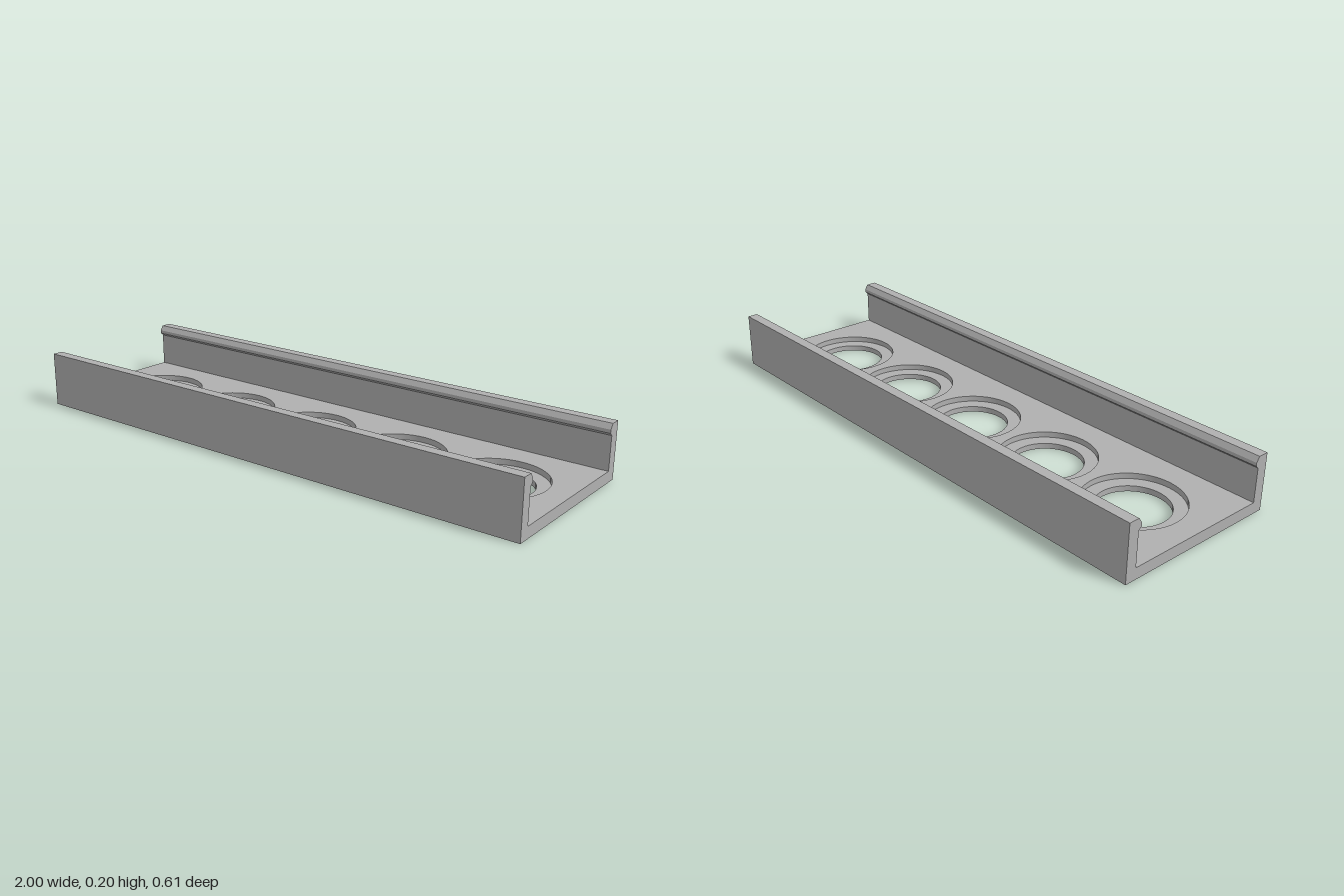
import * as THREE from 'three';
import { toCreasedNormals } from 'three/addons/utils/BufferGeometryUtils.js';

const LENGTH = 2, INNER = 0.266, PITCH = 0.376, HOLES = 5;

// Flat plate lying in xz, pierced by a row of round holes
function plateGeometry(radius, thickness, y) {
  const shape = new THREE.Shape();
  shape.moveTo(-LENGTH / 2, -INNER);
  shape.lineTo(LENGTH / 2, -INNER);
  shape.lineTo(LENGTH / 2, INNER);
  shape.lineTo(-LENGTH / 2, INNER);
  shape.closePath();
  for (let i = 0; i < HOLES; i++) {
    const hole = new THREE.Path();
    hole.absarc((i - (HOLES - 1) / 2) * PITCH, 0, radius, 0, Math.PI * 2, true);
    shape.holes.push(hole);
  }
  const geometry = new THREE.ExtrudeGeometry(shape, { depth: thickness, bevelEnabled: false, curveSegments: 64 });
  geometry.rotateX(-Math.PI / 2).translate(0, y, 0);
  return toCreasedNormals(geometry, 0.5);
}

// Side wall section with a snap lip on the inner top edge, swept along x
function wallGeometry() {
  const profile = [
    [0.305, 0], [0.305, 0.2], [0.267, 0.2], [0.255, 0.182],
    [0.255, 0.17], [0.266, 0.16], [INNER, 0],
  ].map(([z, y]) => new THREE.Vector2(-z, y));
  const geometry = new THREE.ExtrudeGeometry(new THREE.Shape(profile), { depth: LENGTH, bevelEnabled: false });
  return geometry.translate(0, 0, -LENGTH / 2).rotateY(Math.PI / 2);
}

export function createModel() {
  const model = new THREE.Group();
  model.name = 'channelTray';
  const grey = new THREE.MeshStandardMaterial({ color: 0xb0b0b0 });
  grey.name = 'grey';

  const add = (name, geometry) => {
    const mesh = new THREE.Mesh(geometry, grey);
    mesh.name = name;
    model.add(mesh);
    return mesh;
  };

  // Floor in two layers, giving each hole a stepped counterbore
  add('floorThroughHoles', plateGeometry(0.122, 0.02, 0));
  add('floorCounterbores', plateGeometry(0.168, 0.02, 0.02));

  // Mirrored lipped walls
  const wall = wallGeometry();
  add('frontWall', wall);
  add('backWall', wall).rotation.y = Math.PI;

  return model;
}
